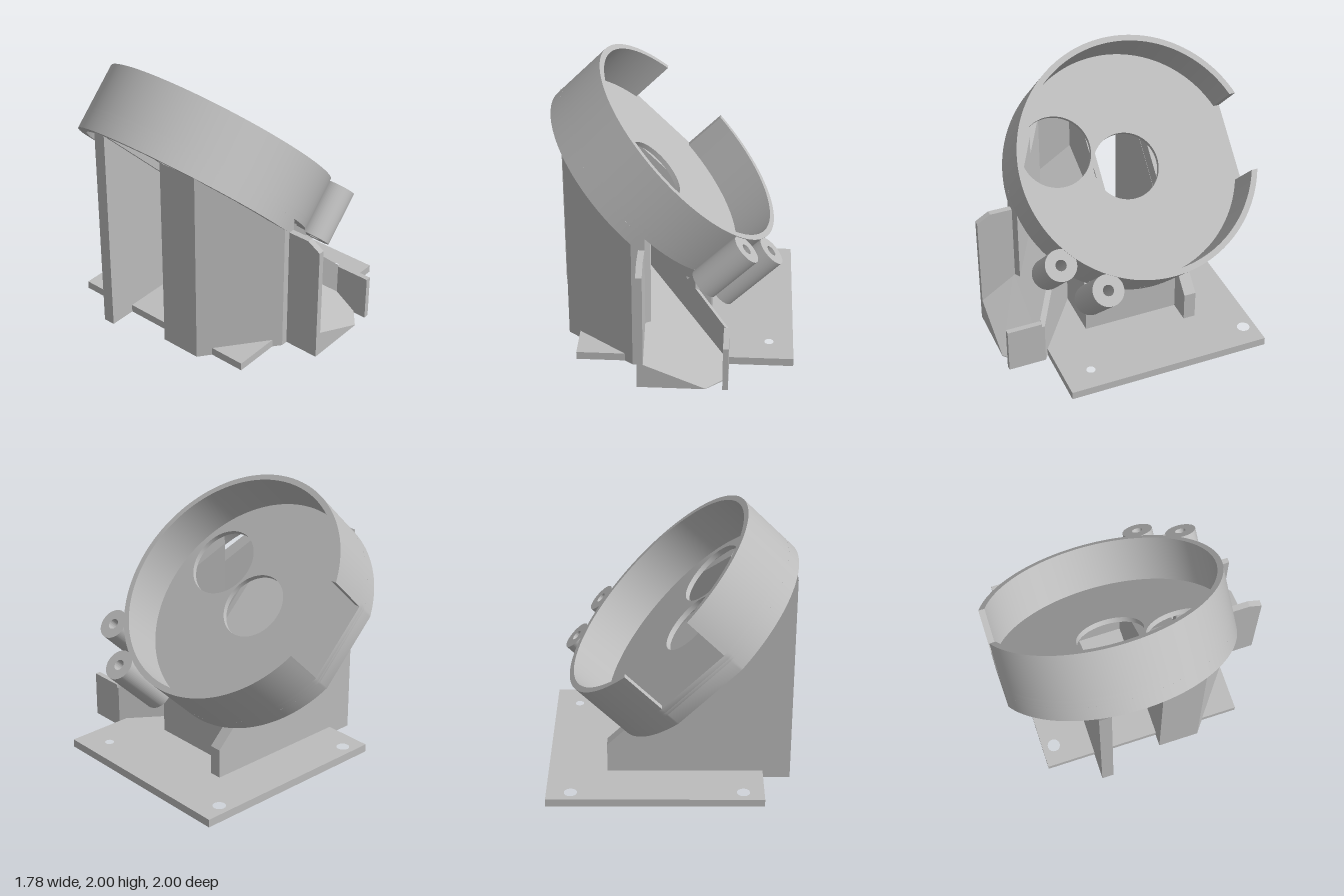
import * as THREE from 'three';
import { toCreasedNormals } from 'three/addons/utils/BufferGeometryUtils.js';

const grey = new THREE.MeshStandardMaterial({ color: 0xbcbcbc });
grey.name = 'light grey plastic';

function add(parent, name, geometry) {
  const mesh = new THREE.Mesh(geometry, grey);
  mesh.name = name;
  parent.add(mesh);
  return mesh;
}

// Upright extrusion of a plan shape drawn with (x, -z)
function slab(shape, y0, y1) {
  const g = new THREE.ExtrudeGeometry(shape, { depth: y1 - y0, bevelEnabled: false, curveSegments: 64 });
  g.rotateX(-Math.PI / 2).translate(0, y0, 0);
  return toCreasedNormals(g, 0.4);
}

// Prism standing on the ground whose top follows top(x, z)
function prism(plan, top) {
  const shape = new THREE.Shape(plan.map(([x, z]) => new THREE.Vector2(x, -z)));
  const g = new THREE.ExtrudeGeometry(shape, { depth: 1, bevelEnabled: false });
  g.rotateX(-Math.PI / 2);
  const p = g.attributes.position;
  for (let i = 0; i < p.count; i++) {
    p.setY(i, p.getY(i) > 0.5 ? Math.max(0.004, top(p.getX(i), p.getZ(i))) : 0);
  }
  g.computeVertexNormals();
  return g;
}

const rect = (x0, x1, z0, z1) => [[x0, z0], [x1, z0], [x1, z1], [x0, z1]];
const circle = (x, z, r) => new THREE.Path().absarc(x, -z, r, 0, Math.PI * 2, true);

export function createModel() {
  const model = new THREE.Group();
  model.name = 'tilted dish on stand';

  // Base plate with screw holes
  const plate = new THREE.Shape(rect(-0.67, 0.89, -0.83, 0.69).map(([x, z]) => new THREE.Vector2(x, -z)));
  plate.holes.push(circle(0.715, -0.74, 0.047), circle(-0.52, -0.74, 0.047), circle(0.715, 0.48, 0.033));
  add(model, 'basePlate', slab(plate, 0, 0.06));

  // Support walls cut off along the underside of the dish
  const under = (x) => 0.75 - x;
  const raised = (x) => 0.895 - x;
  const stand = new THREE.Group();
  stand.name = 'stand';
  model.add(stand);
  add(stand, 'backWall', prism(rect(-0.87, 0.46, -0.46, -0.37), (x) => 0.74 - x));
  add(stand, 'middleWall', prism(rect(-0.76, 0.29, 0.04, 0.08), under));
  add(stand, 'shaftColumn', prism(rect(-0.76, -0.7, 0.08, 0.35), under));
  add(stand, 'frontBlock', prism(rect(-0.12, 0.29, 0.08, 0.35), under));
  add(stand, 'crossWall', prism(rect(0.23, 0.29, -0.38, 0.04), under));

  // Diagonal chute leading from the shaft to the front
  const chute = new THREE.Group();
  chute.name = 'chute';
  model.add(chute);
  add(chute, 'chuteFloor', prism(
    [[-0.19, 1], [0.27, 1], [0.39, 0.9], [0.4, 0.74], [-0.12, 0.37], [-0.12, 0.08],
      [-0.72, 0.08], [-0.72, 0.35], [-0.19, 0.74]],
    (x, z) => 0.19 - 0.437 * (x + 0.165) + 0.65 * (1 - z)));
  add(chute, 'chuteLeftWallRear', prism([[-0.76, 0.35], [-0.5, 0.55], [-0.45, 0.48], [-0.63, 0.35]], under));
  add(chute, 'chuteLeftWallFront', prism(
    [[-0.5, 0.55], [-0.26, 0.735], [-0.21, 0.735], [-0.165, 0.735], [-0.125, 0.71], [-0.45, 0.48]], raised));
  add(chute, 'chuteRightWallFront', prism([[0.18, 0.588], [0.39, 0.74], [0.43, 0.74], [0.43, 0.72], [0.21, 0.563]], under));
  add(chute, 'chuteRightWallRear', prism([[-0.15, 0.35], [0.18, 0.588], [0.21, 0.563], [-0.09, 0.35]], raised));
  add(chute, 'tallFin', prism(
    [[-0.21, 0.73], [-0.165, 0.73], [-0.165, 0.9], [-0.165, 1], [-0.21, 1], [-0.21, 0.9]],
    (x, z) => Math.min(0.96, 0.9 + (1 - z) * 0.6)));
  add(chute, 'shortFin', prism(rect(0.39, 0.43, 0.74, 1), () => 0.345));

  // Dish, tilted 45 degrees, built upright in its own frame
  const dish = new THREE.Group();
  dish.name = 'dish';
  dish.position.set(-0.26, 1.007, -0.153);
  dish.rotation.z = -Math.PI / 4;
  model.add(dish);
  const R = 0.893, inner = 0.85, skirtInner = 0.825, gap = 0.29;
  const depth = 0.508, floorTop = 0.16, floorBottom = 0.122, chuteTop = 0.1;
  const a = Math.acos(gap / R), b = Math.acos(gap / inner);
  const disc = () => new THREE.Shape().absarc(0, 0, R, Math.PI - a, Math.PI * 2 + a, false);

  // Skirt below the floor, its lower part open where the chute leaves
  const c0 = -Math.acos(0.54 / R), c1 = Math.PI * 2 - Math.acos(0.03 / R);
  const lower = new THREE.Shape();
  lower.absarc(0, 0, R, c0, a, false);
  lower.absarc(0, 0, R, Math.PI - a, c1, false);
  lower.absarc(0, 0, skirtInner, c1, c0, true);
  add(dish, 'dishSkirtLower', slab(lower, 0, chuteTop));
  const upper = disc();
  upper.holes.push(circle(0, 0, skirtInner));
  add(dish, 'dishSkirtUpper', slab(upper, chuteTop, floorBottom));

  // Ribs joining the walls to the floor
  for (const [z, width] of [[-0.262, 0.09], [0.213, 0.04]]) {
    const length = 2 * Math.sqrt(skirtInner ** 2 - z ** 2);
    add(dish, 'floorRib', new THREE.BoxGeometry(length, floorBottom, width)).position.set(0, floorBottom / 2, z);
  }

  const floor = disc();
  floor.holes.push(circle(0, 0, 0.25), circle(-0.217, 0.49, 0.265));
  add(dish, 'dishFloor', slab(floor, floorBottom, floorTop));

  // Rim wall, open at the back
  const rim = new THREE.Shape();
  rim.absarc(0, 0, R, Math.PI - a, Math.PI * 2 + a, false);
  rim.absarc(0, 0, inner, Math.PI * 2 + b, Math.PI - b, true);
  add(dish, 'dishRim', slab(rim, floorTop, depth));

  // Screw posts on the low side
  for (const [u, z, bottom] of [[0.87, 0.493, 0], [0.62, 0.773, 0.09]]) {
    const post = new THREE.Shape().absarc(u, -z, 0.115, 0, Math.PI * 2, false);
    post.holes.push(circle(u, z, 0.04));
    add(dish, 'screwPost', slab(post, bottom, depth - 0.005));
  }
  return model;
}
